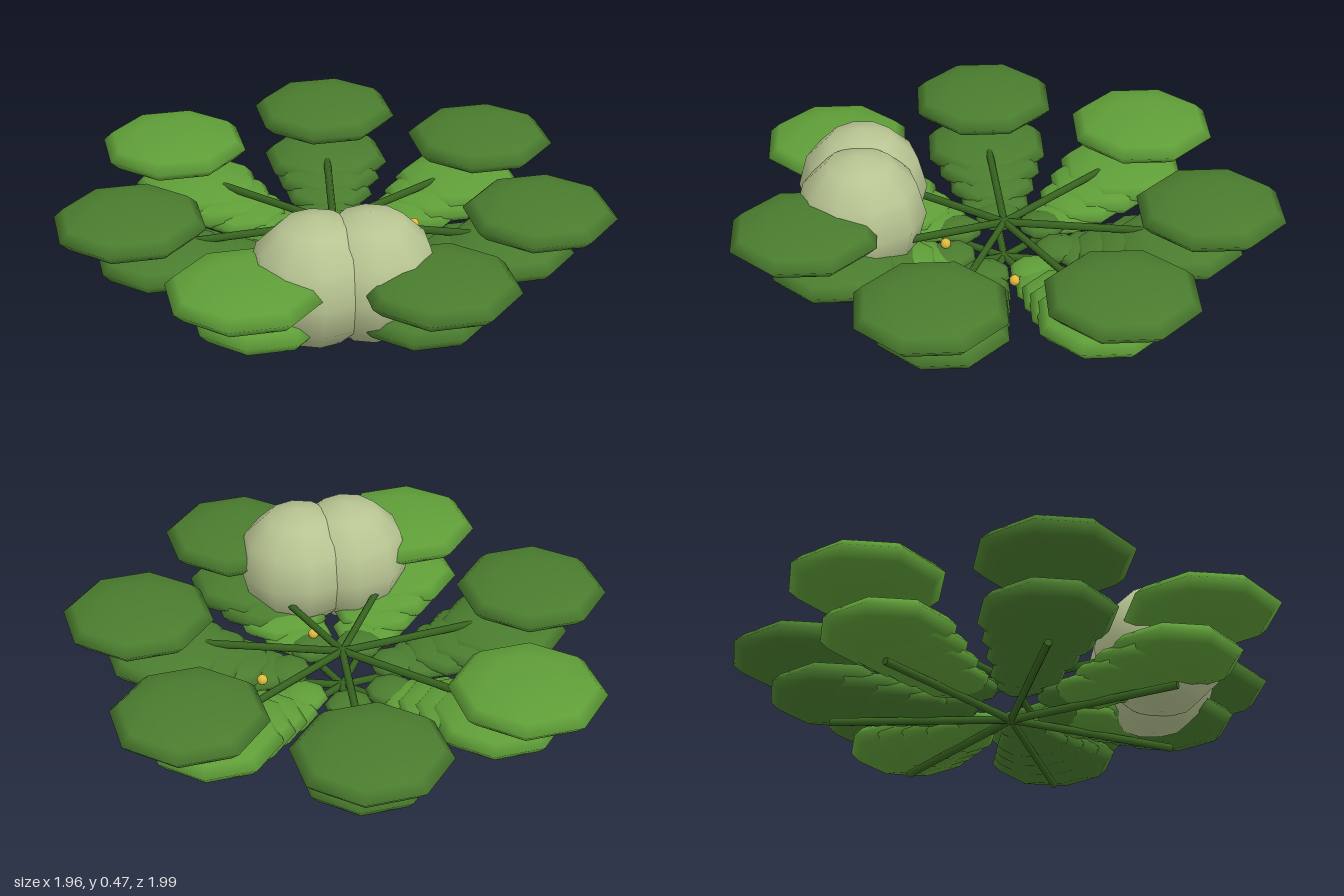
import * as THREE from 'three';

const paint = (name, hex) => {
  const m = new THREE.MeshStandardMaterial({ color: hex });
  m.name = name;
  return m;
};

export function createModel() {
  const darkLeaf = paint('dark leaf green', 0x4a7c2e);
  const lightLeaf = paint('light leaf green', 0x5f9e38);
  const stemGreen = paint('stem green', 0x386420);
  const melonSkin = paint('pale melon', 0xb8c492);
  const petal = paint('flower yellow', 0xe0bc3c);

  const plant = new THREE.Group();
  plant.name = 'melonPlant';
  const cx = -0.035; // crown of the vine
  const lowPoly = new THREE.SphereGeometry(1, 8, 6);

  const add = (parent, name, geometry, material, x, y, z) => {
    const mesh = new THREE.Mesh(geometry, material);
    mesh.name = name;
    mesh.position.set(x, y, z);
    parent.add(mesh);
    return mesh;
  };

  // Stem lying level, pointing away from the crown
  const stemLength = 0.64;
  const stemGeometry = new THREE.CylinderGeometry(0.014, 0.014, stemLength, 6);
  stemGeometry.rotateZ(-Math.PI / 2).translate(stemLength / 2, 0, 0);

  for (let arm = 0; arm < 7; arm++) {
    const angle = (arm / 7) * Math.PI * 2;
    const group = new THREE.Group();
    group.name = `vineArm${arm + 1}`;
    plant.add(group);

    // Leaves all keep the same orientation around the plant
    const leaf = (name, material, d, y, r, h) =>
      add(group, name, lowPoly, material, cx + Math.cos(angle) * d, y, Math.sin(angle) * d)
        .scale.set(r, h, r);

    // Ground runner and raised stem
    for (const [name, y] of [['groundRunner', 0.015], ['raisedStem', 0.165]]) {
      add(group, name, stemGeometry, stemGreen, cx, y, 0).rotation.y = -angle;
    }

    // Large upper leaf
    leaf('upperLeaf', arm === 2 || arm === 4 ? lightLeaf : darkLeaf, 0.74, 0.27, 0.275, 0.07);

    // Lower leaves shrink and sink towards the crown
    for (let i = 3; i <= 6; i++) {
      const bright = [2, 4, 6].includes(arm) || (arm === 1 && i < 5);
      const r = 0.03 + 0.035 * i;
      leaf('lowerLeaf', bright ? lightLeaf : darkLeaf, 0.105 * i, 0.02 * i, r, r * 0.29);
    }
    leaf('crownLeaf', arm === 6 ? lightLeaf : darkLeaf, 0.2, 0.065, 0.09, 0.035);
  }

  // Two-lobed melon
  const lobe = new THREE.SphereGeometry(0.235, 10, 6);
  const melon = new THREE.Group();
  melon.name = 'melon';
  plant.add(melon);
  add(melon, 'leftLobe', lobe, melonSkin, 0.175, 0.235, 0.47);
  add(melon, 'rightLobe', lobe, melonSkin, 0, 0.235, 0.535);

  // Small flowers near the crown
  const bud = new THREE.SphereGeometry(0.02, 8, 6);
  add(plant, 'flower', bud, petal, 0.24, 0.115, -0.135);
  add(plant, 'flower', bud, petal, 0.09, 0.11, 0.18);

  return plant;
}
